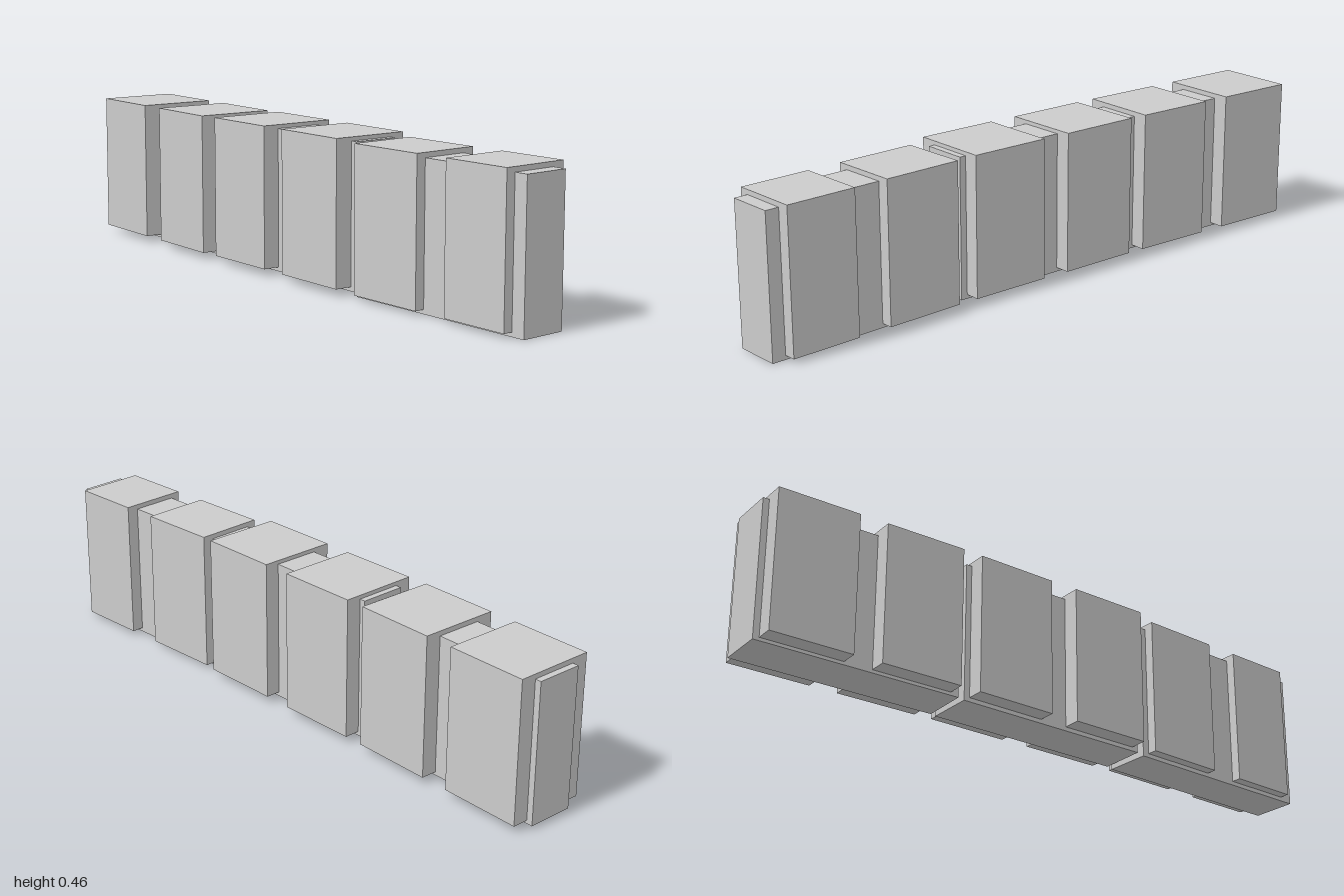
import * as THREE from 'three';

const material = new THREE.MeshStandardMaterial({ color: 0xcccccc, flatShading: true });

// Box given by its centre in plan, its size and its bottom and top heights
function box(name, x, z, width, depth, bottom, top) {
  const mesh = new THREE.Mesh(new THREE.BoxGeometry(width, top - bottom, depth), material);
  mesh.name = name;
  mesh.position.set(x, (bottom + top) / 2, z);
  return mesh;
}

// Each wall section: a thin core with two thicker blocks around it, turned slightly
const sections = [
  { x: -0.672, z: 0.018, turn: 0, core: [0.655, 0.146, 0.011, 0.446],
    blocks: [[-0.178, 0.002, 0.26], [0.172, 0.002, 0.26]], block: [0.251, 0.021, 0.461] },
  { x: 0.0, z: 0.006, turn: 1.7, core: [0.652, 0.146, 0.009, 0.45],
    blocks: [[-0.177, 0.002, 0.26], [0.175, 0.004, 0.26]], block: [0.249, 0.022, 0.462] },
  { x: 0.667, z: -0.019, turn: 3.9, core: [0.656, 0.146, 0.002, 0.44],
    blocks: [[-0.178, -0.003, 0.256], [0.173, -0.004, 0.224]], block: [0.215, 0.015, 0.455] },
];

export function createModel() {
  const model = new THREE.Group();
  model.name = 'wall';
  sections.forEach((s, i) => {
    const section = new THREE.Group();
    section.name = `wallSection${i + 1}`;
    section.position.set(s.x, i === 2 ? -0.002 : 0, s.z);
    section.rotation.y = THREE.MathUtils.degToRad(s.turn);
    section.add(box('core', 0, 0, ...s.core));
    s.blocks.forEach(([x, z, width], j) => {
      section.add(box(`block${j + 1}`, x, z, width, ...s.block));
    });
    model.add(section);
  });
  return model;
}
